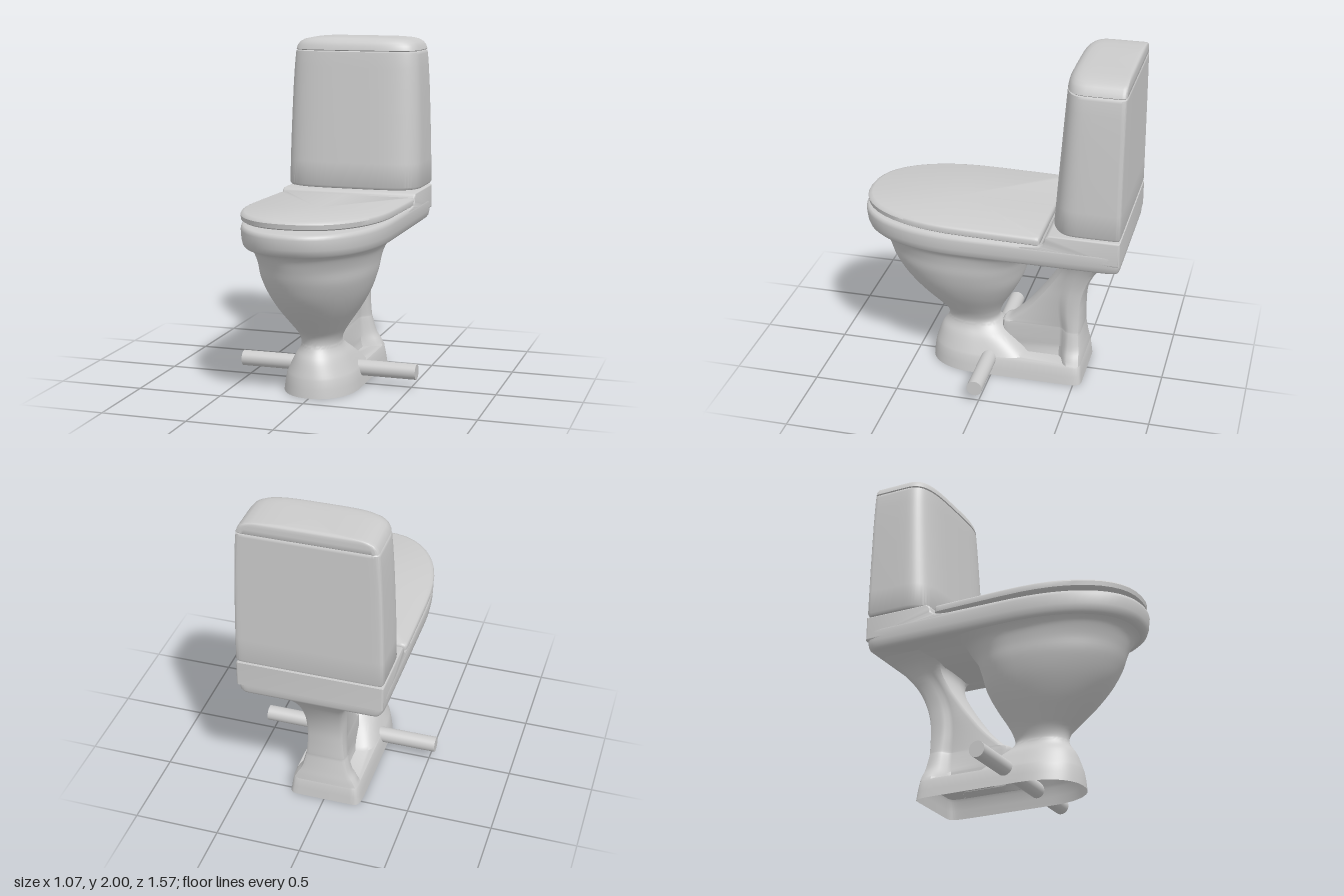
import * as THREE from 'three';
import { toCreasedNormals } from 'three/addons/utils/BufferGeometryUtils.js';

const material = new THREE.MeshStandardMaterial({ color: 0xcccccc, side: THREE.DoubleSide });

function mesh(name, geometry) {
  const m = new THREE.Mesh(geometry, material);
  m.name = name;
  return m;
}

// Horizontal outline: front and back halves are superellipses meeting at zc.
function ring([y, hw, zb, zf, zc, nB, nF], count = 72) {
  const pts = [];
  for (let i = 0; i < count; i++) {
    const t = (i / count) * Math.PI * 2;
    const c = Math.cos(t), s = Math.sin(t);
    const e = 2 / (s >= 0 ? nF : nB);
    const x = Math.abs(c) < 1e-9 ? 0 : Math.sign(c) * Math.abs(c) ** e * hw;
    const z = Math.abs(s) < 1e-9 ? 0 : Math.sign(s) * Math.abs(s) ** e * (s > 0 ? zf - zc : zc - zb);
    pts.push([x, y, zc + z]);
  }
  return pts;
}

// Leg outline: column of half-width h at the back, web of half-width w in front.
function legRing([y, zb, zf, zc, h, w]) {
  const side = [
    [h * 0.8, zb], [h * 0.94, zb + 0.01], [h, zb + 0.035], [h, zc - 0.01],
    [h * 0.8 + w * 0.2, zc + 0.012], [h * 0.2 + w * 0.8, zc + 0.035], [w, zc + 0.055],
    [w, zf - 0.04], [w * 0.9, zf - 0.016], [w * 0.6, zf - 0.004], [w * 0.25, zf],
  ];
  const right = side.map(([x, z]) => [x, y, z]);
  const left = side.map(([x, z]) => [-x, y, z]).reverse();
  return [...right, ...left];
}

// Catmull-Rom interpolation between b and c.
function spline(a, b, c, d, t) {
  const quadratic = 2 * a - 5 * b + 4 * c - d;
  const cubic = 3 * (b - c) + d - a;
  return b + 0.5 * t * (c - a + t * (quadratic + t * cubic));
}

// Smoothly subdivides a table of section parameters.
function refine(rows, k = 4) {
  const out = [];
  const last = rows.length - 1;
  for (let i = 0; i < last; i++) {
    const p0 = rows[Math.max(i - 1, 0)], p1 = rows[i], p2 = rows[i + 1];
    const p3 = rows[Math.min(i + 2, last)];
    for (let j = 0; j < k; j++) {
      out.push(p1.map((v, c) => spline(p0[c], v, p2[c], p3[c], j / k)));
    }
  }
  out.push(rows[last]);
  return out;
}

// Skins a stack of outlines, listed from bottom to top.
function loft(rings, capBottom = true, capTop = true) {
  const n = rings[0].length, pos = rings.flat(2), idx = [];
  for (let i = 0; i < rings.length - 1; i++) {
    for (let j = 0; j < n; j++) {
      const a = i * n + j, b = i * n + (j + 1) % n;
      idx.push(a, a + n, b, b, a + n, b + n);
    }
  }
  const cap = (row, up) => {
    const zs = rings[row].map((p) => p[2]);
    const center = pos.length / 3;
    pos.push(0, rings[row][0][1], (Math.min(...zs) + Math.max(...zs)) / 2);
    for (let j = 0; j < n; j++) {
      const a = row * n + j, b = row * n + (j + 1) % n;
      if (up) idx.push(center, b, a);
      else idx.push(center, a, b);
    }
  };
  if (capBottom) cap(0, false);
  if (capTop) cap(rings.length - 1, true);
  const g = new THREE.BufferGeometry();
  g.setAttribute('position', new THREE.Float32BufferAttribute(pos, 3));
  g.setIndex(idx);
  return toCreasedNormals(g, 0.7);
}

export function createModel() {
  const model = new THREE.Group();
  model.name = 'toilet';

  // Hollow foot with a rear ledge, narrowing to a neck and opening into the bowl
  const foot = [
    [0, 0.22, -0.545, 0.4, 0.1, 16, 2.2],
    [0.05, 0.213, -0.54, 0.396, 0.1, 16, 2.2],
    [0.1, 0.204, -0.535, 0.388, 0.1, 16, 2.2],
    [0.115, 0.197, -0.53, 0.384, 0.1, 16, 2.2],
  ];
  const bowl = refine([
    [0.115, 0.197, -0.2, 0.384, 0.1, 5, 2.2],
    [0.2, 0.155, -0.1, 0.355, 0.12, 3.5, 2.1],
    [0.25, 0.123, -0.04, 0.322, 0.14, 2.6, 2],
    [0.29, 0.113, -0.005, 0.308, 0.15, 2.3, 2],
    [0.34, 0.13, -0.012, 0.325, 0.15, 2.3, 2],
    [0.4, 0.168, -0.04, 0.385, 0.16, 2.3, 2],
    [0.5, 0.235, -0.1, 0.49, 0.17, 2.4, 2],
    [0.6, 0.287, -0.15, 0.575, 0.18, 2.5, 2],
    [0.7, 0.32, -0.175, 0.63, 0.18, 2.6, 2.1],
    [0.78, 0.332, -0.2, 0.66, 0.18, 2.8, 2.1],
    [0.84, 0.348, -0.25, 0.685, 0.17, 3, 2.2],
    [0.87, 0.37, -0.3, 0.71, 0.15, 3.5, 2.2],
    [0.89, 0.395, -0.36, 0.745, 0.12, 4, 2.3],
  ]);
  model.add(mesh('bowlAndFoot', loft([...foot, ...bowl].map((r) => ring(r)), false, true)));

  // Rear leg: column with a thin web running forward to the neck
  const leg = refine([
    [0.112, -0.533, -0.1, -0.44, 0.198, 0.09],
    [0.15, -0.53, -0.08, -0.44, 0.178, 0.08],
    [0.2, -0.525, -0.04, -0.44, 0.148, 0.075],
    [0.285, -0.515, -0.03, -0.44, 0.125, 0.07],
    [0.31, -0.515, -0.075, -0.44, 0.12, 0.07],
    [0.4, -0.515, -0.17, -0.43, 0.113, 0.077],
    [0.5, -0.52, -0.25, -0.43, 0.112, 0.088],
    [0.6, -0.545, -0.32, -0.45, 0.116, 0.102],
    [0.7, -0.59, -0.38, -0.49, 0.135, 0.127],
    [0.78, -0.65, -0.408, -0.53, 0.168, 0.165],
    [0.84, -0.705, -0.39, -0.54, 0.215, 0.215],
    [0.89, -0.765, -0.33, -0.54, 0.29, 0.29],
  ]);
  model.add(mesh('rearLeg', loft(leg.map(legRing), false, true)));

  // Thickened bridge between the bowl and the leg
  const bridge = refine([
    [0.81, 0.13, -0.48, -0.15, -0.3, 4, 4],
    [0.83, 0.2, -0.5, -0.13, -0.3, 4, 4],
    [0.86, 0.27, -0.52, -0.1, -0.3, 4, 4],
    [0.89, 0.35, -0.56, -0.06, -0.3, 4, 4],
  ]);
  model.add(mesh('bridge', loft(bridge.map((r) => ring(r)))));

  // Rim slab with softened edges
  const rim = [
    [0.882, 0.39, -0.765, 0.74], [0.887, 0.403, -0.772, 0.757], [0.9, 0.412, -0.777, 0.772],
    [0.93, 0.418, -0.78, 0.783], [0.985, 0.421, -0.78, 0.79], [1.002, 0.417, -0.778, 0.787],
    [1.011, 0.407, -0.773, 0.777], [1.013, 0.39, -0.765, 0.76],
  ];
  model.add(mesh('rim', loft(rim.map((r) => ring([...r, 0.1, 30, 2.3])))));

  // Raised platform with a cove at its front, extruded across the width
  const bevel = 0.012;
  const back = 0.78 - bevel, top = 1.086 - bevel;
  const profile = new THREE.Shape();
  profile.moveTo(back, 0.95);
  profile.lineTo(back, top);
  profile.lineTo(0.39, top);
  profile.quadraticCurveTo(0.368, 1.072, 0.366, 1.045);
  profile.quadraticCurveTo(0.36, 1.008, 0.3, 1.002);
  profile.lineTo(0.22, 0.995);
  profile.lineTo(0.22, 0.95);
  const width = 0.838 - 2 * bevel;
  const platform = new THREE.ExtrudeGeometry(profile, {
    depth: width, bevelSize: bevel, bevelThickness: bevel, bevelSegments: 4, curveSegments: 8,
  });
  platform.translate(0, 0, -width / 2).rotateY(Math.PI / 2);
  model.add(mesh('cisternPlatform', toCreasedNormals(platform, 0.7)));

  // Seat cover, tilted slightly up at the front
  const seat = [
    [1.022, 0.412, -0.325, 0.755], [1.03, 0.423, -0.33, 0.772],
    [1.056, 0.426, -0.33, 0.776], [1.066, 0.42, -0.327, 0.768], [1.072, 0.405, -0.32, 0.75],
  ].map((r) => ring([...r, 0.1, 40, 2.3], 48));
  seat.flat().forEach((p) => { p[1] += 0.017 * p[2]; });
  model.add(mesh('seatCover', loft(seat)));

  // Cistern, tapering upward with a flat back
  const cistern = [
    [1.092, 0.395, -0.765, -0.395], [1.096, 0.41, -0.775, -0.38], [1.11, 0.419, -0.78, -0.371],
    [1.25, 0.417, -0.78, -0.381], [1.4, 0.413, -0.78, -0.392], [1.55, 0.408, -0.78, -0.403],
    [1.7, 0.402, -0.78, -0.414], [1.82, 0.395, -0.78, -0.423], [1.9, 0.388, -0.78, -0.429],
    [1.915, 0.385, -0.78, -0.431], [1.92, 0.379, -0.776, -0.437],
  ];
  model.add(mesh('cistern', loft(cistern.map((r) => ring([...r, -0.6, 30, 3.8])))));

  // Domed cistern lid
  const lid = [
    [1.92, 0.379, -0.776, -0.437], [1.925, 0.385, -0.78, -0.431], [1.95, 0.376, -0.78, -0.436],
    [1.97, 0.36, -0.78, -0.446], [1.984, 0.335, -0.779, -0.46], [1.993, 0.295, -0.776, -0.475],
    [1.998, 0.23, -0.77, -0.495], [2, 0.14, -0.755, -0.53],
  ];
  model.add(mesh('cisternLid', loft(lid.map((r) => ring([...r, -0.6, 30, 3.8])))));

  // Pipe passing through the foot
  const pipe = new THREE.CylinderGeometry(0.046, 0.046, 1.07, 32);
  pipe.rotateZ(Math.PI / 2).translate(0, 0.1, 0.018);
  model.add(mesh('crossPipe', pipe));

  return model;
}
